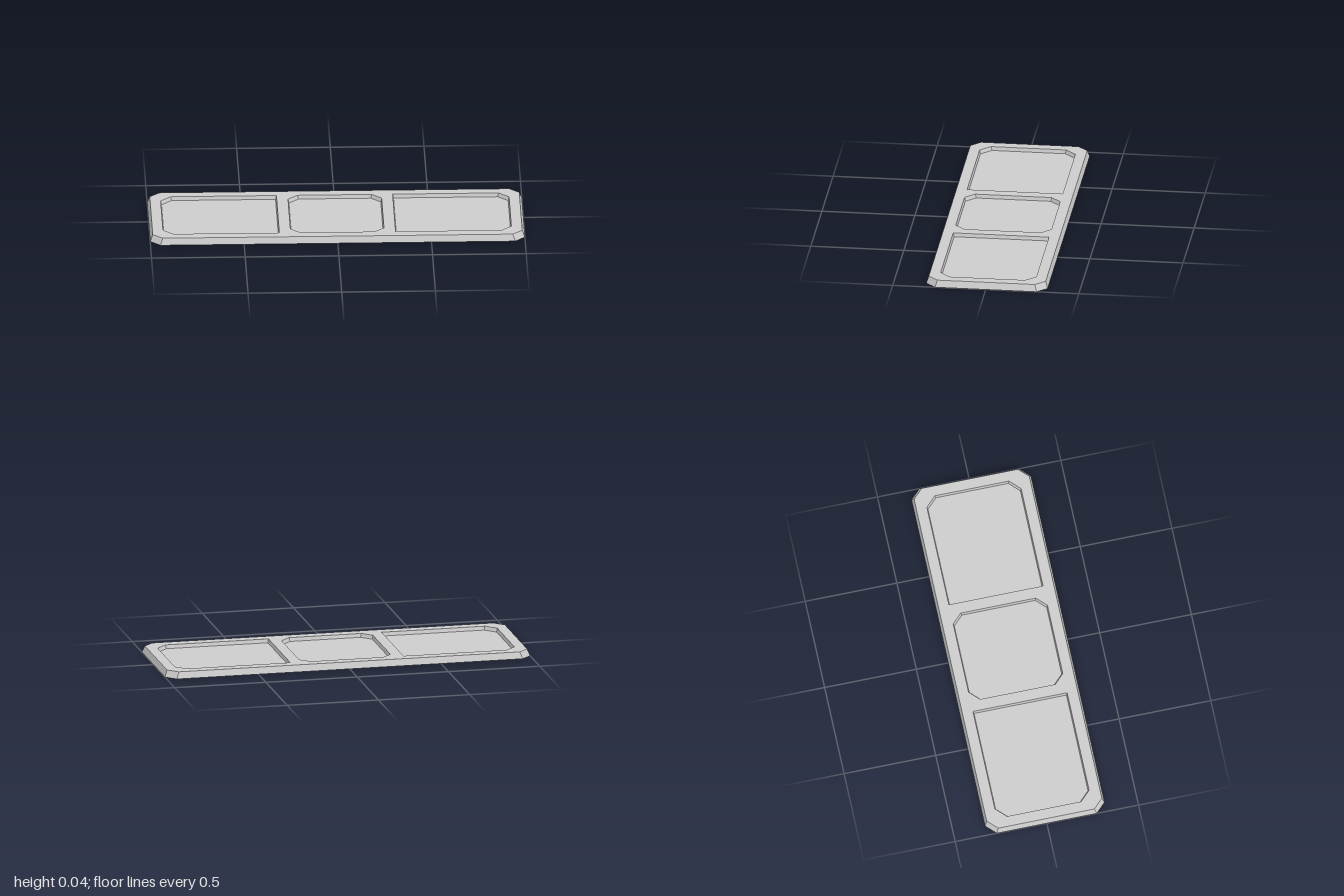
import * as THREE from 'three';

const TOP = 0.036, FLOOR = 0.016;

// Rectangle outline with chamfered corners; cl / cr are the chamfers on the -x / +x ends
function outline(x0, x1, z, cl, cr) {
  const pts = [];
  const corner = (x, y, sx, sy, c, flip) => {
    if (!c) return pts.push([x, y]);
    const a = [x - sx * c, y], b = [x, y - sy * c];
    pts.push(...(flip ? [b, a] : [a, b]));
  };
  corner(x0, -z, -1, -1, cl, true);
  corner(x1, -z, 1, -1, cr, false);
  corner(x1, z, 1, 1, cr, true);
  corner(x0, z, -1, 1, cl, false);
  return pts;
}

// Sloped wall joining two matching outlines
function wall(low, yLow, high, yHigh) {
  const pos = [];
  low.forEach((p, i) => {
    const j = (i + 1) % low.length, q = low[j], r = high[j], s = high[i];
    const a = [p[0], yLow, -p[1]], b = [q[0], yLow, -q[1]];
    const c = [r[0], yHigh, -r[1]], d = [s[0], yHigh, -s[1]];
    pos.push(...a, ...b, ...c, ...a, ...c, ...d);
  });
  const g = new THREE.BufferGeometry();
  g.setAttribute('position', new THREE.Float32BufferAttribute(pos, 3));
  g.computeVertexNormals();
  return g;
}

// Flat horizontal sheet with optional holes
function sheet(pts, y, holes = []) {
  const v = (l) => l.map((p) => new THREE.Vector2(p[0], p[1]));
  const shape = new THREE.Shape(v(pts));
  holes.forEach((h) => shape.holes.push(new THREE.Path(v(h))));
  return new THREE.ShapeGeometry(shape).rotateX(-Math.PI / 2).translate(0, y, 0);
}

export function createModel() {
  const group = new THREE.Group();
  group.name = 'tray';
  const grey = new THREE.MeshStandardMaterial({ color: 0xcccccc, side: THREE.DoubleSide, flatShading: true });
  grey.name = 'light grey';
  const add = (name, geo) => {
    const m = new THREE.Mesh(geo, grey);
    m.name = name;
    group.add(m);
    return m;
  };

  // Outer skirt, open underneath
  const base = outline(-1, 1, 0.326, 0.053, 0.053);
  const rim = outline(-0.986, 0.986, 0.314, 0.052, 0.052);
  add('skirt', wall(base, 0, rim, TOP));

  // Three recessed compartments: top edge and slightly smaller floor
  const recesses = [
    ['rightRecess', -0.93, -0.31, 0.055, 0],
    ['middleRecess', -0.25, 0.25, 0.052, 0.052],
    ['leftRecess', 0.31, 0.93, 0, 0.055],
  ].map(([name, x0, x1, cl, cr]) => ({
    name,
    edge: outline(x0, x1, 0.257, cl, cr),
    floor: outline(x0 + 0.005, x1 - 0.005, 0.252, cl, cr),
  }));
  add('deck', sheet(rim, TOP, recesses.map((r) => r.edge)));
  for (const r of recesses) {
    add(r.name + 'Wall', wall(r.floor, FLOOR, r.edge, TOP));
    add(r.name + 'Floor', sheet(r.floor, FLOOR));
  }

  // Cross ribs under the deck, with angled corner gussets in the middle bay
  const h = TOP - 0.001;
  for (const s of [-1, 1]) {
    const ribShape = new THREE.Shape([[-0.325, 0], [0.325, 0], [0.313, h], [-0.313, h]]
      .map((p) => new THREE.Vector2(...p)));
    const rib = add('crossRib', new THREE.ShapeGeometry(ribShape));
    rib.rotation.y = Math.PI / 2;
    rib.position.x = s * 0.3;
    for (const t of [-1, 1]) {
      const gusset = add('ribGusset', new THREE.PlaneGeometry(0.07, h));
      gusset.rotation.y = s * t * Math.PI / 4;
      gusset.position.set(s * 0.275, h / 2, t * 0.288);
    }
  }
  return group;
}
